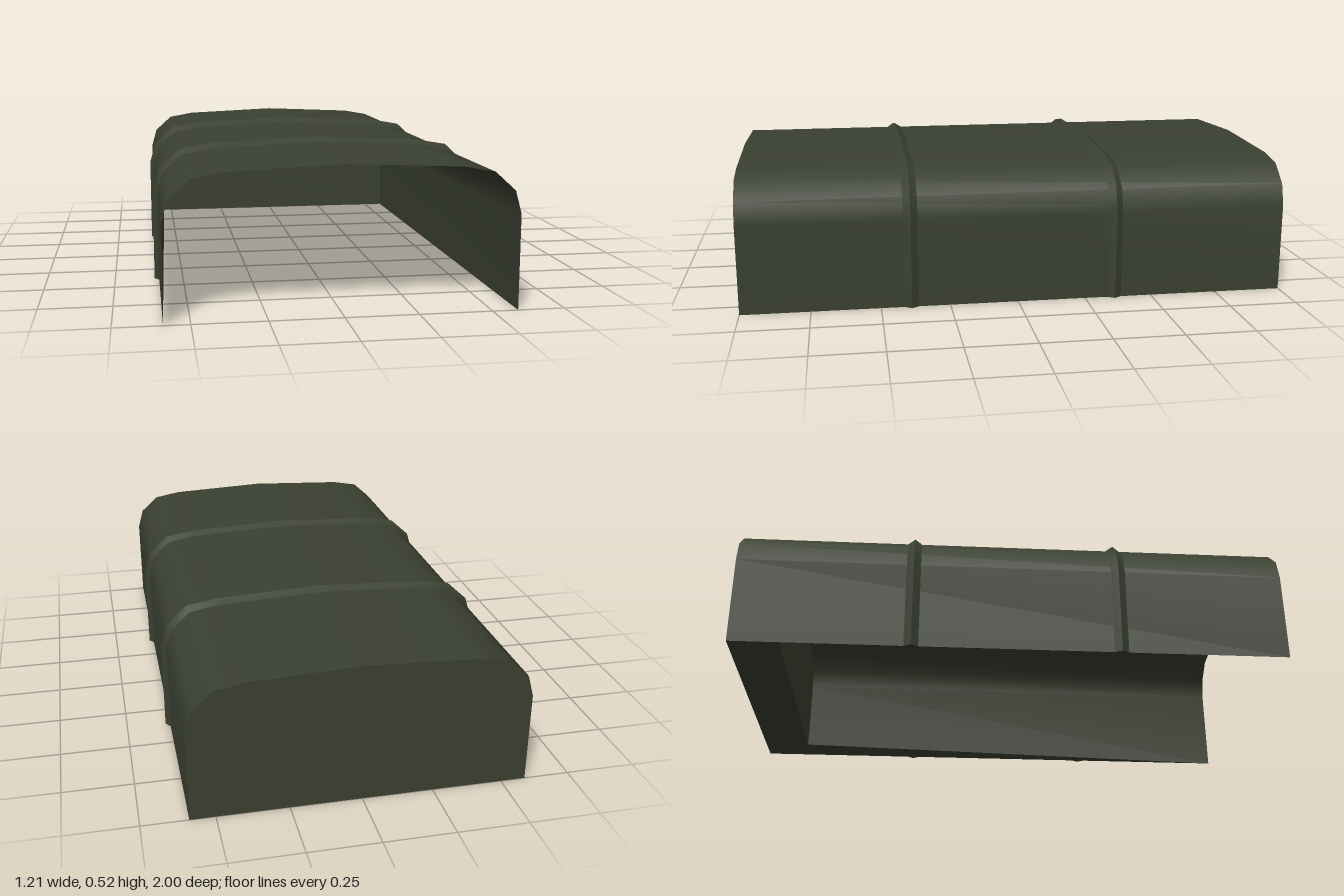
import * as THREE from 'three';

// Half profiles, from the bottom edge up to the ridge line
const OUTER = [[0.588, 0], [0.588, 0.327], [0.566, 0.405], [0.495, 0.469], [0.39, 0.488], [0, 0.505]];
const INNER = [[0.54, 0.03], [0.54, 0.312], [0.518, 0.378], [0.457, 0.433], [0.36, 0.44], [0, 0.461]];
const RIB = [[0.605, 0], [0.605, 0.335], [0.58, 0.416], [0.505, 0.485], [0.395, 0.504], [0, 0.522]];
const FRONT = 1, BACK = -1, INNER_BACK = -0.83;

// Mirror a half profile into a full arch running from +x to -x
const arch = (half) => [...half, ...half.slice(0, -1).reverse().map(([x, y]) => [-x, y])];

function build(points, index) {
  const g = new THREE.BufferGeometry();
  g.setAttribute('position', new THREE.Float32BufferAttribute(points.flat(), 3));
  g.setIndex(index);
  g.computeVertexNormals();
  return g;
}

// Smooth strip between two arches; faces outward when zA > zB
function strip(halfA, zA, halfB, zB) {
  const a = arch(halfA), b = arch(halfB), n = a.length, index = [];
  const points = [...a.map((p) => [...p, zA]), ...b.map((p) => [...p, zB])];
  for (let i = 0; i < n - 1; i++) index.push(i, n + i, i + 1, i + 1, n + i, n + i + 1);
  return build(points, index);
}

// Flat wall filling an arch, facing +z
function wall(half) {
  return new THREE.ShapeGeometry(new THREE.Shape(arch(half).map(([x, y]) => new THREE.Vector2(x, y))));
}

export function createModel() {
  const group = new THREE.Group();
  const canvas = new THREE.MeshStandardMaterial({ color: 0x3a4031 });
  canvas.name = 'olive canvas';
  const add = (name, geometry, parent = group) => {
    const mesh = new THREE.Mesh(geometry, canvas);
    mesh.name = name;
    parent.add(mesh);
    return mesh;
  };

  // Outer cover and closed back
  add('outerCover', strip(OUTER, FRONT, OUTER, BACK));
  add('backWall', wall(OUTER).rotateY(Math.PI).translate(0, 0, BACK));

  // Tapered lining and its end wall
  add('innerLining', strip(INNER, INNER_BACK, OUTER, FRONT));
  add('innerBackWall', wall(INNER).translate(0, 0, INNER_BACK));

  // Bottom rim joining cover and lining
  const [ox, oy] = OUTER[0], [ix, iy] = INNER[0];
  for (const s of [1, -1]) {
    const tri = [[s * ox, oy, FRONT], [s * ix, iy, INNER_BACK], [s * ox, oy, BACK]];
    add(s > 0 ? 'leftRim' : 'rightRim', build(tri, s > 0 ? [0, 1, 2] : [0, 2, 1]));
  }
  add('backRim', build(
    [[ox, oy, BACK], [ix, iy, INNER_BACK], [-ix, iy, INNER_BACK], [-ox, oy, BACK]],
    [0, 1, 2, 0, 2, 3]));

  // Two peaked ribs over the cover
  const halfWidth = 0.026;
  for (const [name, z] of [['frontRib', 0.39], ['rearRib', -0.36]]) {
    const rib = new THREE.Group();
    rib.name = name;
    group.add(rib);
    add('ribFrontSlope', strip(OUTER, z + halfWidth, RIB, z), rib);
    add('ribBackSlope', strip(RIB, z, OUTER, z - halfWidth), rib);
    for (const s of [1, -1]) {
      const end = [[s * ox, 0, z + halfWidth], [s * ox, 0, z - halfWidth], [s * RIB[0][0], 0, z]];
      add('ribEnd', build(end, s > 0 ? [0, 1, 2] : [0, 2, 1]), rib);
    }
  }
  return group;
}
